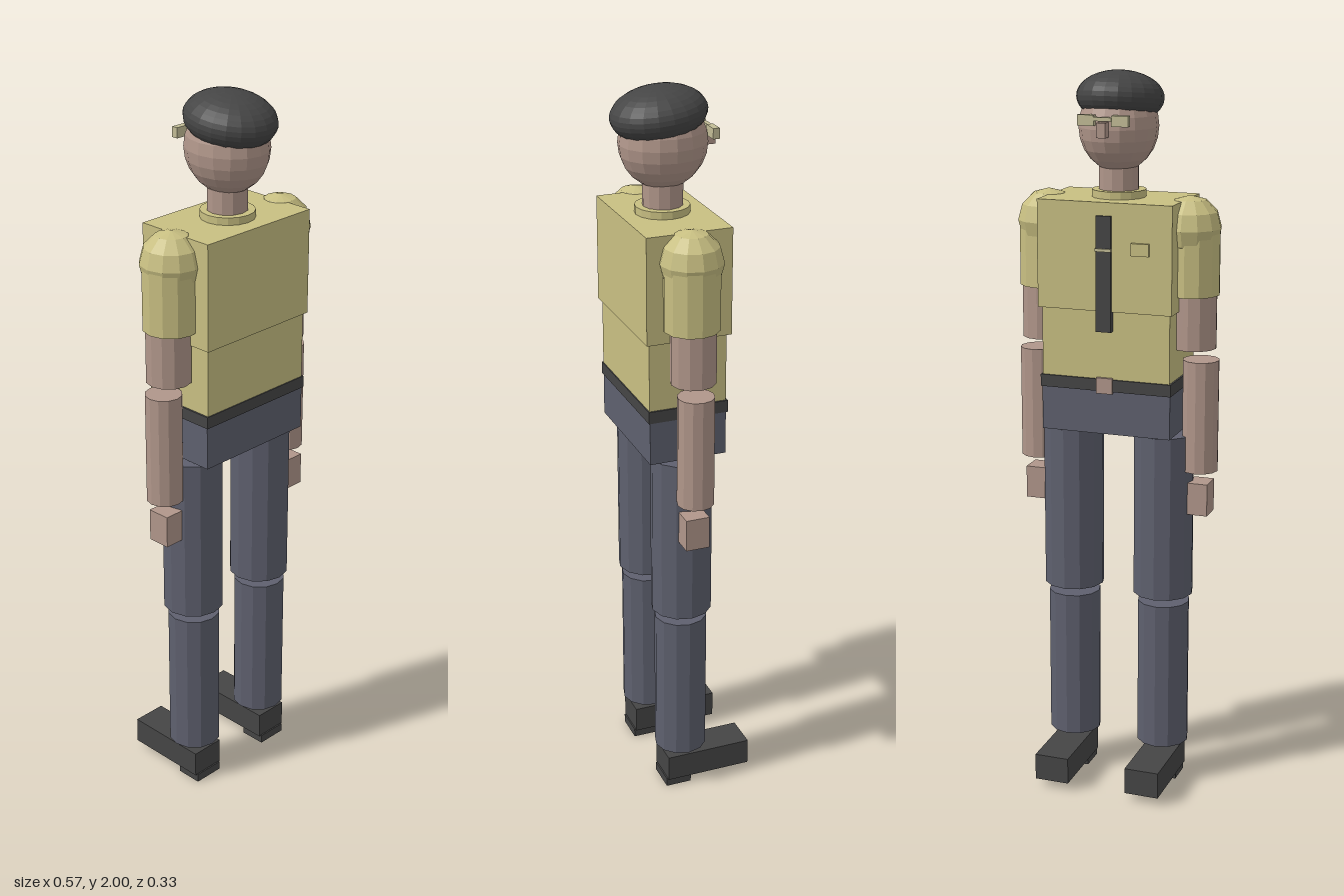
import * as THREE from 'three';

const material = (name, color) => {
  const m = new THREE.MeshStandardMaterial({ color, flatShading: true });
  m.name = name;
  return m;
};

export function createModel() {
  const model = new THREE.Group();
  model.name = 'uniformedFigure';

  const shirt = material('khaki', 0xc8bf82);
  const skin = material('skin', 0xb0968a);
  const trousers = material('slate trousers', 0x5e606e);
  const dark = material('charcoal', 0x454545);
  const brass = material('pale brass', 0xc2bc96);
  const cloth = material('cap cloth', 0x454545);
  cloth.side = THREE.DoubleSide;

  const add = (name, geometry, mat, x, y, z) => {
    const mesh = new THREE.Mesh(geometry, mat);
    mesh.name = name;
    mesh.position.set(x, y, z);
    model.add(mesh);
    return mesh;
  };
  // Box given by its centre x, width, and its y and z ranges
  const box = (name, mat, x, w, y0, y1, z0, z1) =>
    add(name, new THREE.BoxGeometry(w, y1 - y0, z1 - z0), mat, x, (y0 + y1) / 2, (z0 + z1) / 2);
  // Upright faceted cylinder between two heights
  const post = (name, mat, r, x, y0, y1, z = 0.024, sides = 12) =>
    add(name, new THREE.CylinderGeometry(r, r, y1 - y0, sides), mat, x, (y0 + y1) / 2, z);

  // Torso
  box('chest', shirt, 0, 0.376, 1.38, 1.67, -0.094, 0.141);
  box('abdomen', shirt, 0, 0.36, 1.19, 1.38, -0.083, 0.132);
  box('belt', dark, 0, 0.37, 1.16, 1.193, -0.088, 0.135);
  box('buckle', skin, 0, 0.045, 1.155, 1.198, -0.095, -0.086);
  box('pelvis', trousers, 0, 0.364, 1.04, 1.16, -0.083, 0.131);

  // Shirt details on the -z face
  box('tie', dark, 0, 0.042, 1.325, 1.635, -0.1, -0.08);
  box('tieClip', brass, 0, 0.045, 1.541, 1.549, -0.104, -0.098);
  box('pocket', shirt, -0.102, 0.05, 1.535, 1.568, -0.104, -0.092);

  // Neck and head
  post('collar', shirt, 0.073, 0, 1.66, 1.69, 0.026, 16);
  post('neck', skin, 0.054, 0, 1.66, 1.77, 0.025, 12);
  add('head', new THREE.SphereGeometry(1, 16, 12), skin, 0, 1.855, 0.024).scale.set(0.105, 0.12, 0.118);
  box('nose', skin, 0, 0.024, 1.838, 1.877, -0.116, -0.08);

  // Eyeglasses
  for (const s of [-1, 1]) {
    box(s > 0 ? 'leftLens' : 'rightLens', brass, s * 0.047, 0.045, 1.867, 1.895, -0.104, -0.086);
  }
  box('glassesBridge', brass, 0, 0.05, 1.88, 1.89, -0.106, -0.094);

  // Tilted soft cap, cut flat underneath
  const capShape = new THREE.SphereGeometry(1, 20, 12, 0, Math.PI * 2, 0, Math.PI * 0.68);
  capShape.scale(0.115, 0.07, 0.128);
  add('cap', capShape, cloth, 0, 1.93, 0.035).rotation.x = 0.12;

  // Mirrored limbs
  for (const s of [-1, 1]) {
    const side = s > 0 ? 'left' : 'right';
    add(side + 'Shoulder', new THREE.SphereGeometry(0.085, 12, 6), shirt, s * 0.2, 1.598, 0.024);
    post(side + 'Sleeve', shirt, 0.075, s * 0.207, 1.42, 1.59, 0.026);
    post(side + 'UpperArm', skin, 0.061, s * 0.215, 1.275, 1.44);
    post(side + 'Forearm', skin, 0.05, s * 0.235, 0.934, 1.243);
    box(side + 'Hand', skin, s * 0.237, 0.056, 0.81, 0.9, -0.005, 0.061);

    post(side + 'Thigh', trousers, 0.084, s * 0.132, 0.568, 1.032);
    post(side + 'Shin', trousers, 0.073, s * 0.133, 0.12, 0.543, 0.026);
    box(side + 'Shoe', dark, s * 0.134, 0.098, 0.023, 0.098, -0.166, 0.08);
    box(side + 'Heel', dark, s * 0.134, 0.088, 0, 0.025, 0.01, 0.084);
  }

  return model;
}
